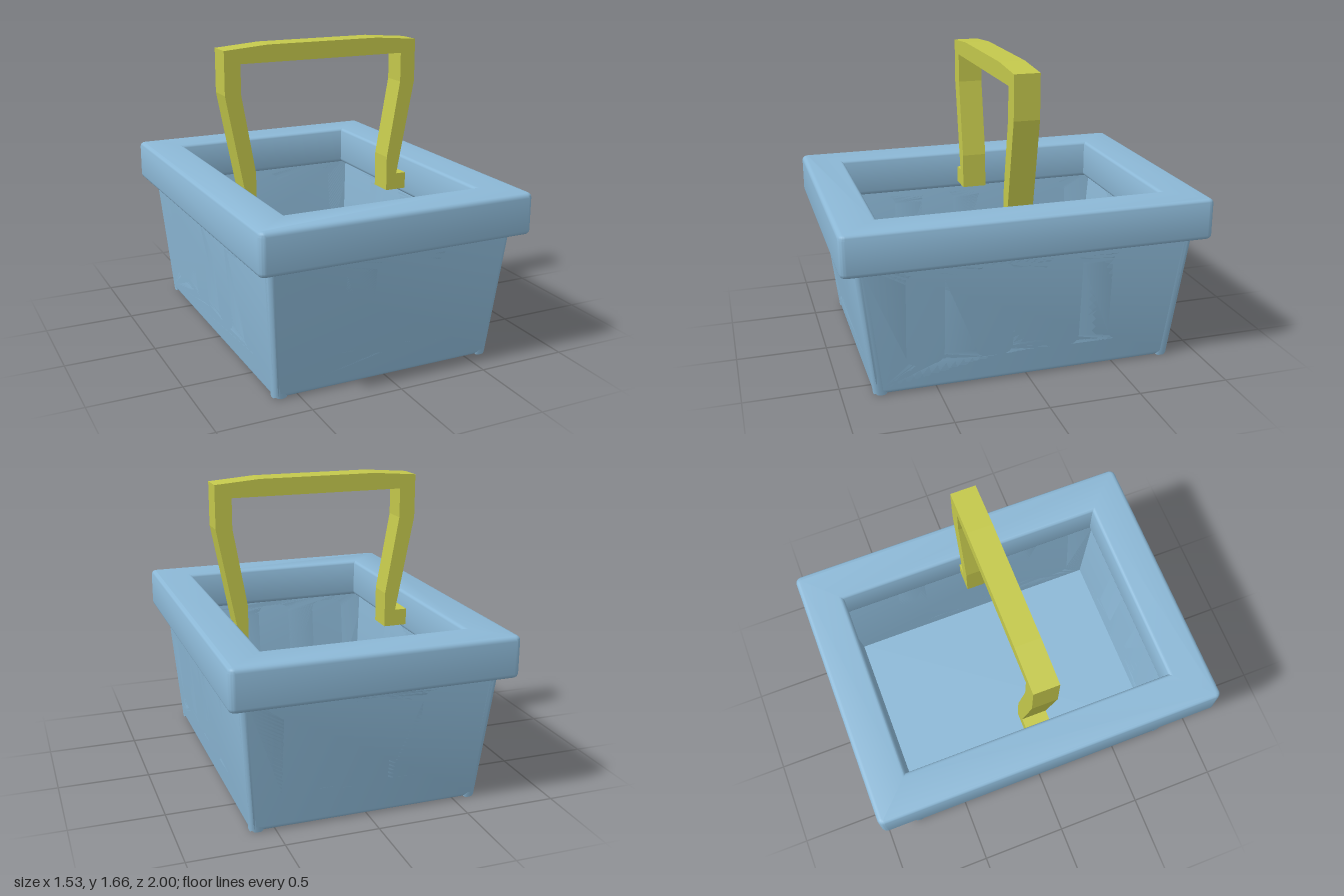
import * as THREE from 'three';
import { toCreasedNormals } from 'three/addons/utils/BufferGeometryUtils.js';

const BLUE = new THREE.MeshStandardMaterial({ color: 0x8cb8d6 });
const YELLOW = new THREE.MeshStandardMaterial({ color: 0xc4c84c });

const WALL = 0.08, RIM_Y = 0.72, RIM_H = 0.225;
// half width and half depth at the base, and how far the walls lean out per unit height
const HALF_X = 0.63, HALF_Z = 0.835, LEAN_X = 0.083, LEAN_Z = 0.118;

// Rounded rectangle outline, used for slots and the rim
function roundedRect(path, x0, y0, x1, y1, r) {
  path.moveTo(x0 + r, y0);
  path.lineTo(x1 - r, y0);
  path.absarc(x1 - r, y0 + r, r, -Math.PI / 2, 0);
  path.lineTo(x1, y1 - r);
  path.absarc(x1 - r, y1 - r, r, 0, Math.PI / 2);
  path.lineTo(x0 + r, y1);
  path.absarc(x0 + r, y1 - r, r, Math.PI / 2, Math.PI);
  path.lineTo(x0, y0 + r);
  path.absarc(x0 + r, y0 + r, r, Math.PI, Math.PI * 1.5);
  return path;
}

// Extrude with rounded edges that stay inside the drawn outline
function softExtrude(shape, thickness, bevel) {
  return new THREE.ExtrudeGeometry(shape, {
    depth: thickness - 2 * bevel, bevelThickness: bevel, bevelSize: bevel,
    bevelOffset: -bevel, bevelSegments: 4, curveSegments: 4,
  }).translate(0, 0, bevel);
}

// Leaning trapezoid wall with a row of flared slots; outer face towards +z
function wallGeometry(half, sideLean, distance, lean, slots) {
  const top = RIM_Y + 0.07, halfTop = half + sideLean * top;
  const shape = new THREE.Shape([
    new THREE.Vector2(-half, 0), new THREE.Vector2(half, 0),
    new THREE.Vector2(halfTop, top), new THREE.Vector2(-halfTop, top),
  ]);
  for (const c of slots) {
    shape.holes.push(roundedRect(new THREE.Path(), c - 0.072, 0.18, c + 0.072, 0.65, 0.025));
  }
  const geo = softExtrude(shape, WALL, 0.03);
  const p = geo.attributes.position;
  for (let i = 0; i < p.count; i++) {
    p.setZ(i, p.getZ(i) + distance - WALL + lean * p.getY(i));
  }
  return toCreasedNormals(geo, 0.6);
}

export function createModel() {
  const model = new THREE.Group();
  const add = (name, geo, mat) => {
    const mesh = new THREE.Mesh(geo, mat);
    mesh.name = name;
    model.add(mesh);
    return mesh;
  };

  // Slotted walls
  const endWall = wallGeometry(HALF_X, LEAN_X, HALF_Z, LEAN_Z, [-0.37, 0, 0.37]);
  const sideWall = wallGeometry(HALF_Z, LEAN_Z, HALF_X, LEAN_X, [-0.5625, -0.1875, 0.1875, 0.5625]);
  add('frontWall', endWall, BLUE);
  add('backWall', endWall, BLUE).rotation.y = Math.PI;
  add('leftWall', sideWall, BLUE).rotation.y = Math.PI / 2;
  add('rightWall', sideWall, BLUE).rotation.y = -Math.PI / 2;

  // Floor
  add('floor', new THREE.BoxGeometry(1.18, WALL, 1.59).translate(0, WALL / 2, 0), BLUE);

  // Thick overhanging rim
  const rim = roundedRect(new THREE.Shape(), -0.765, -1, 0.765, 1, 0.035);
  rim.holes.push(new THREE.Path([
    new THREE.Vector2(-0.54, -0.772), new THREE.Vector2(-0.54, 0.772),
    new THREE.Vector2(0.54, 0.772), new THREE.Vector2(0.54, -0.772),
  ]));
  const rimGeo = softExtrude(rim, RIM_H, 0.025).rotateX(-Math.PI / 2).translate(0, RIM_Y, 0);
  add('rim', toCreasedNormals(rimGeo, 0.6), BLUE);

  // Handle: half outline from the outer top down round the foot and back, then mirrored
  const half = [
    [0.33, 1.66], [0.58, 1.64], [0.58, 1.4], [0.475, 0.855], [0.55, 0.855],
    [0.55, 0.76], [0.41, 0.76], [0.41, 0.96], [0.488, 1.4], [0.488, 1.565],
  ];
  const outline = [...half, ...half.map(([x, y]) => [-x, y]).reverse()];
  const handle = new THREE.ExtrudeGeometry(
    new THREE.Shape(outline.map(([x, y]) => new THREE.Vector2(x, y))),
    { depth: 0.14, bevelEnabled: false });
  add('handle', handle.translate(0.005, 0, -0.07), YELLOW);

  return model;
}
